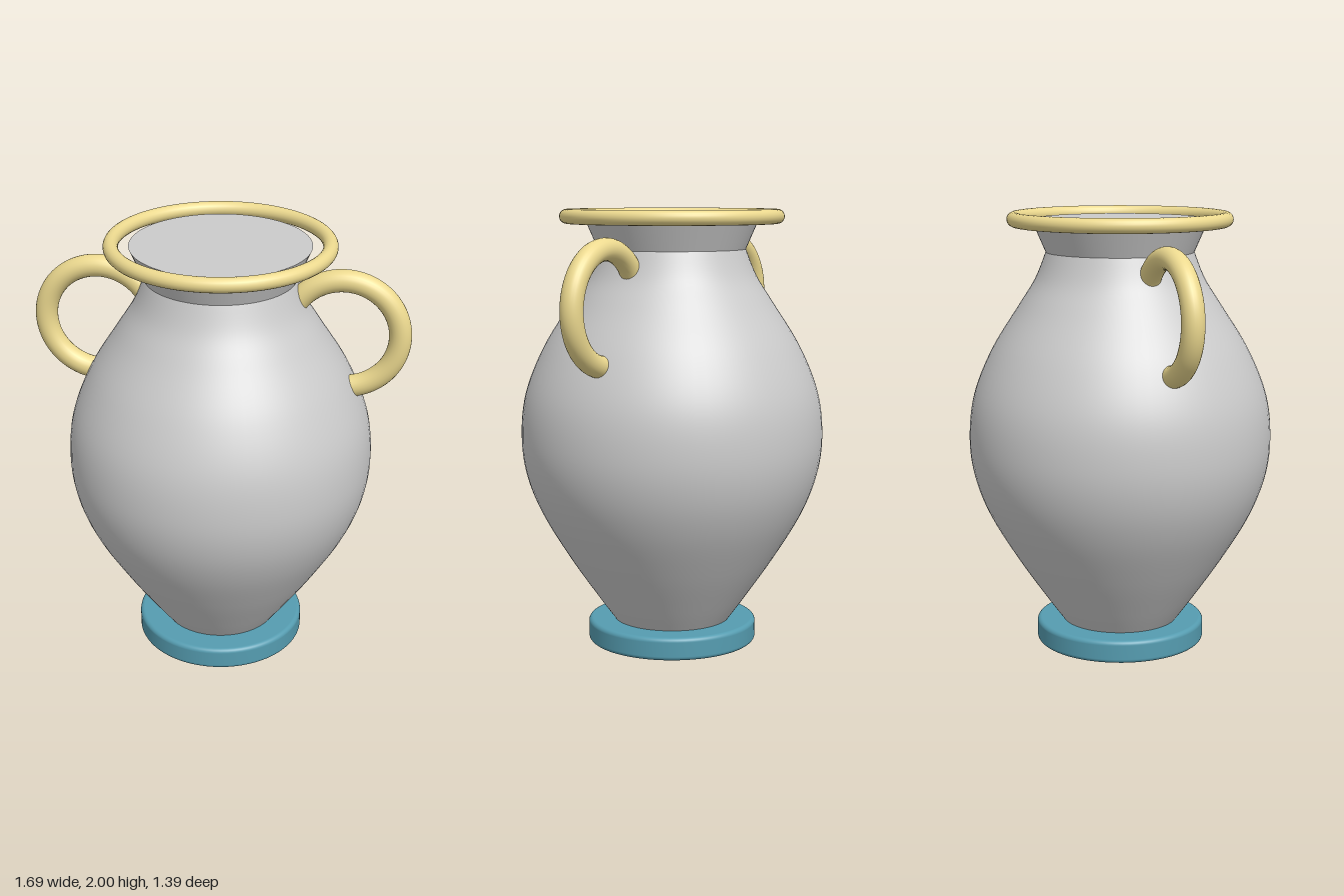
import * as THREE from 'three';

const clay = new THREE.MeshStandardMaterial({ color: 0xcccccc });
const gold = new THREE.MeshStandardMaterial({ color: 0xecd98f });
const teal = new THREE.MeshStandardMaterial({ color: 0x559cb0 });

const vec = ([x, y]) => new THREE.Vector2(x, y);

export function createModel() {
  const model = new THREE.Group();
  model.name = 'vase';

  const add = (name, geometry, material, x = 0, y = 0) => {
    const mesh = new THREE.Mesh(geometry, material);
    mesh.name = name;
    mesh.position.set(x, y, 0);
    model.add(mesh);
    return mesh;
  };

  // Foot: a disc with softly rounded edges
  const foot = new THREE.Shape();
  const r = 0.39, h = 0.105, b = 0.02;
  foot.moveTo(0, 0);
  foot.lineTo(r - b, 0);
  foot.absarc(r - b, b, b, -Math.PI / 2, 0, false);
  foot.absarc(r - b, h - b, b, 0, Math.PI / 2, false);
  foot.lineTo(0, h);
  add('foot', new THREE.LatheGeometry(foot.getPoints(5), 72), teal);

  // Body: smooth curve from foot to neck
  const profile = new THREE.SplineCurve([
    [0.265, 0.1], [0.345, 0.21], [0.475, 0.4], [0.6, 0.61], [0.67, 0.79], [0.693, 0.97],
    [0.67, 1.17], [0.585, 1.38], [0.46, 1.58], [0.385, 1.7], [0.336, 1.82],
  ].map(vec));
  add('body', new THREE.LatheGeometry(profile.getPoints(60), 72), clay);

  // Neck: flared and closed at the top
  add('neck', new THREE.CylinderGeometry(0.4, 0.336, 0.147, 72), clay, 0, 1.8935);

  // Rim: a ring around the top of the neck
  const rim = new THREE.TorusGeometry(0.477, 0.033, 20, 96);
  rim.rotateX(Math.PI / 2);
  add('rim', rim, gold, 0, 1.967);

  // Handles: open rings whose ends sink into the body
  const start = THREE.MathUtils.degToRad(-100);
  const sweep = THREE.MathUtils.degToRad(255);
  for (const side of [1, -1]) {
    const ring = new THREE.TorusGeometry(0.25, 0.05, 24, 72, sweep);
    ring.rotateZ(start);
    if (side < 0) ring.rotateY(Math.PI);
    add(side > 0 ? 'leftHandle' : 'rightHandle', ring, gold, side * 0.547, 1.585);
  }

  return model;
}
